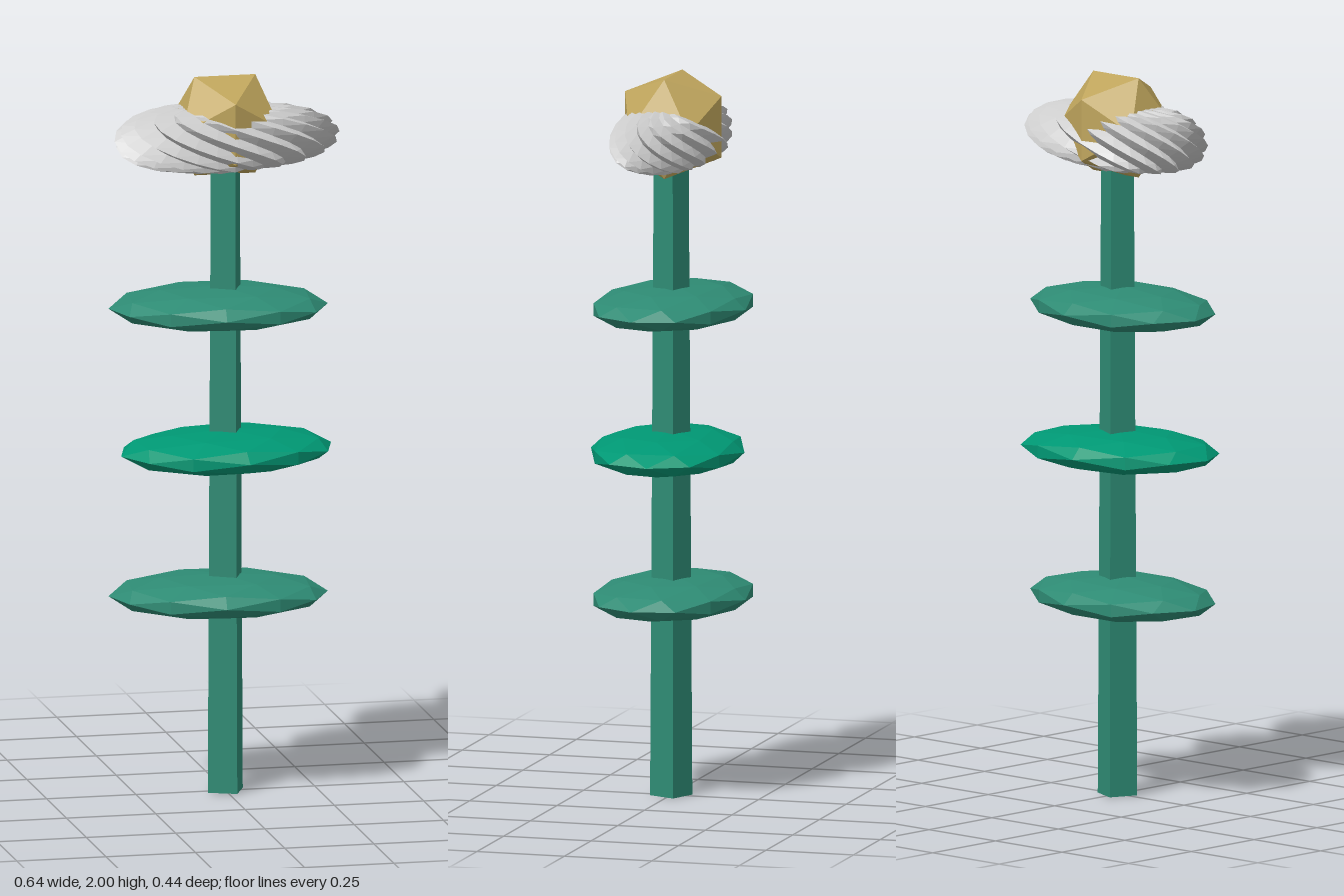
import * as THREE from 'three';

const material = (color) => new THREE.MeshStandardMaterial({ color, flatShading: true });

function addPart(group, name, geometry, mat, x, y, z) {
  const mesh = new THREE.Mesh(geometry, mat);
  mesh.name = name;
  mesh.position.set(x, y, z);
  group.add(mesh);
  return mesh;
}

// Flattened sphere whose rows carry alternating spikes, blunt on -x and pointed on +x
function spikyRing() {
  const cols = 32, rows = 12;
  const geo = new THREE.SphereGeometry(1, cols, rows);
  const pos = geo.attributes.position;
  for (let i = 0; i <= rows; i++) {
    const phi = (i / rows) * Math.PI;
    for (let j = 0; j <= cols; j++) {
      const theta = (j / cols) * Math.PI * 2;
      const spike = (i + j) % 2 === 0 ? 1 : 0.86;
      const cx = Math.cos(theta), cz = Math.sin(theta);
      const power = cx < 0 ? 0.5 : 0.75;
      const r = Math.pow(Math.max(Math.sin(phi), 0), power) * spike;
      const pole = i === 0 || i === rows;
      pos.setXYZ(
        i * (cols + 1) + j,
        -(pole ? 0 : r * cx * 0.315) * -1 + 0.005,
        Math.cos(phi) * 0.09 * (0.9 + 0.1 * spike),
        pole ? 0 : -r * cz * 0.15
      );
    }
  }
  geo.computeVertexNormals();
  return geo;
}

export function createModel() {
  const group = new THREE.Group();
  const green = material(0x2e8b74);
  const emerald = material(0x009874);
  const gold = material(0xbfa55c);
  const grey = material(0xcccccc);

  // Tapered square stem
  const stem = addPart(group, 'stem', new THREE.CylinderGeometry(0.048, 0.058, 1.78, 4), green, 0, 0.89, 0);
  stem.rotation.y = THREE.MathUtils.degToRad(22);

  // Three flat faceted leaves
  const leaf = new THREE.IcosahedronGeometry(1, 1);
  [
    { y: 0.552, x: -0.02, z: 0, yaw: -0.1, mat: green },
    { y: 0.957, x: 0, z: 0.01, yaw: 0.1, mat: emerald },
    { y: 1.357, x: -0.02, z: 0, yaw: -0.1, mat: green },
  ].forEach(({ y, x, z, yaw, mat }, i) => {
    const mesh = addPart(group, 'leaf' + (i + 1), leaf, mat, x, y, z);
    mesh.scale.set(0.302, 0.057, 0.214);
    mesh.rotation.y = yaw;
  });

  // Spiky petals around the flower centre
  addPart(group, 'petals', spikyRing(), grey, 0, 1.83, 0);
  addPart(group, 'flowerCentre', new THREE.IcosahedronGeometry(0.162, 0), gold, 0, 1.862, -0.006);

  return group;
}
